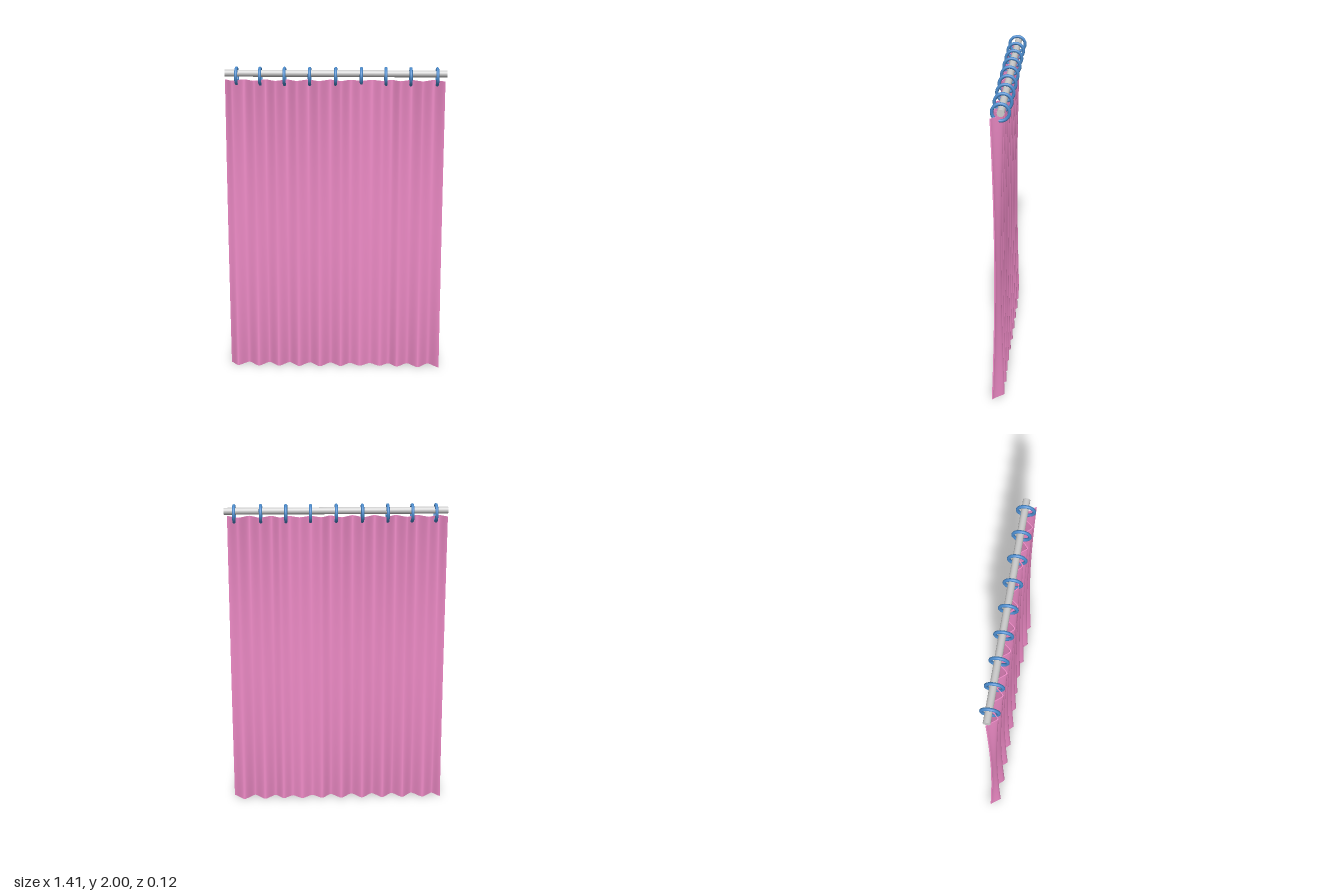
import * as THREE from 'three';

const material = (color) => new THREE.MeshStandardMaterial({ color });

// Pleats across the width: [x, depth], ridges toward +1 and valleys toward -1
const PLEATS = [
  [-0.705, -0.8], [-0.655, 0.85], [-0.585, -1], [-0.515, 1], [-0.447, -1], [-0.38, 1],
  [-0.312, -1], [-0.245, 1], [-0.175, -1], [-0.105, 1], [-0.035, -1], [0.035, 0.85],
  [0.095, -0.9], [0.16, 0.55], [0.23, -0.9], [0.295, 0.5], [0.355, -0.9], [0.41, 0.8],
  [0.48, -1], [0.55, 1], [0.62, -1], [0.69, 1],
];

// Smooth blend between neighbouring ridge and valley
function pleatDepth(x) {
  let i = 0;
  while (i < PLEATS.length - 2 && x > PLEATS[i + 1][0]) i++;
  const [x0, d0] = PLEATS[i];
  const [x1, d1] = PLEATS[i + 1];
  const t = THREE.MathUtils.clamp((x - x0) / (x1 - x0), 0, 1);
  const s = 0.5 * t + 0.5 * t * t * (3 - 2 * t);
  return d0 + (d1 - d0) * s;
}

// Thin slab folded into pleats that open wider at the top and the hem
function curtainGeometry() {
  const left = -0.705, right = 0.69, height = 1.917;
  const geometry = new THREE.BoxGeometry(right - left, height, 0.007, 168, 24, 1);
  geometry.translate((left + right) / 2, height / 2, 0);
  const p = geometry.attributes.position;
  for (let i = 0; i < p.count; i++) {
    const flare = Math.abs(p.getY(i) / height - 0.5) * 2;
    const amplitude = 0.015 + 0.021 * flare ** 1.8;
    p.setZ(i, p.getZ(i) + 0.017 + amplitude * pleatDepth(p.getX(i)));
  }
  geometry.computeVertexNormals();
  return geometry;
}

export function createModel() {
  const model = new THREE.Group();
  model.name = 'curtain on rod';

  const add = (name, geometry, mat, x, y, z) => {
    const mesh = new THREE.Mesh(geometry, mat);
    mesh.name = name;
    mesh.position.set(x, y, z);
    model.add(mesh);
    return mesh;
  };

  // Rod
  const rodGeometry = new THREE.CylinderGeometry(0.022, 0.022, 1.41, 24).rotateZ(Math.PI / 2);
  add('rod', rodGeometry, material(0xcccccc), 0, 1.957, -0.008);

  // Rings
  const ringGeometry = new THREE.TorusGeometry(0.051, 0.01, 12, 32).rotateY(Math.PI / 2);
  const ringMaterial = material(0x4a8acb);
  [-0.63, -0.48, -0.325, -0.165, 0, 0.162, 0.317, 0.475, 0.642].forEach((x, i) =>
    add(`ring${i + 1}`, ringGeometry, ringMaterial, x, 1.939, -0.002));

  // Pleated cloth
  add('curtain', curtainGeometry(), material(0xf08cc8), 0, 0, 0);

  return model;
}
